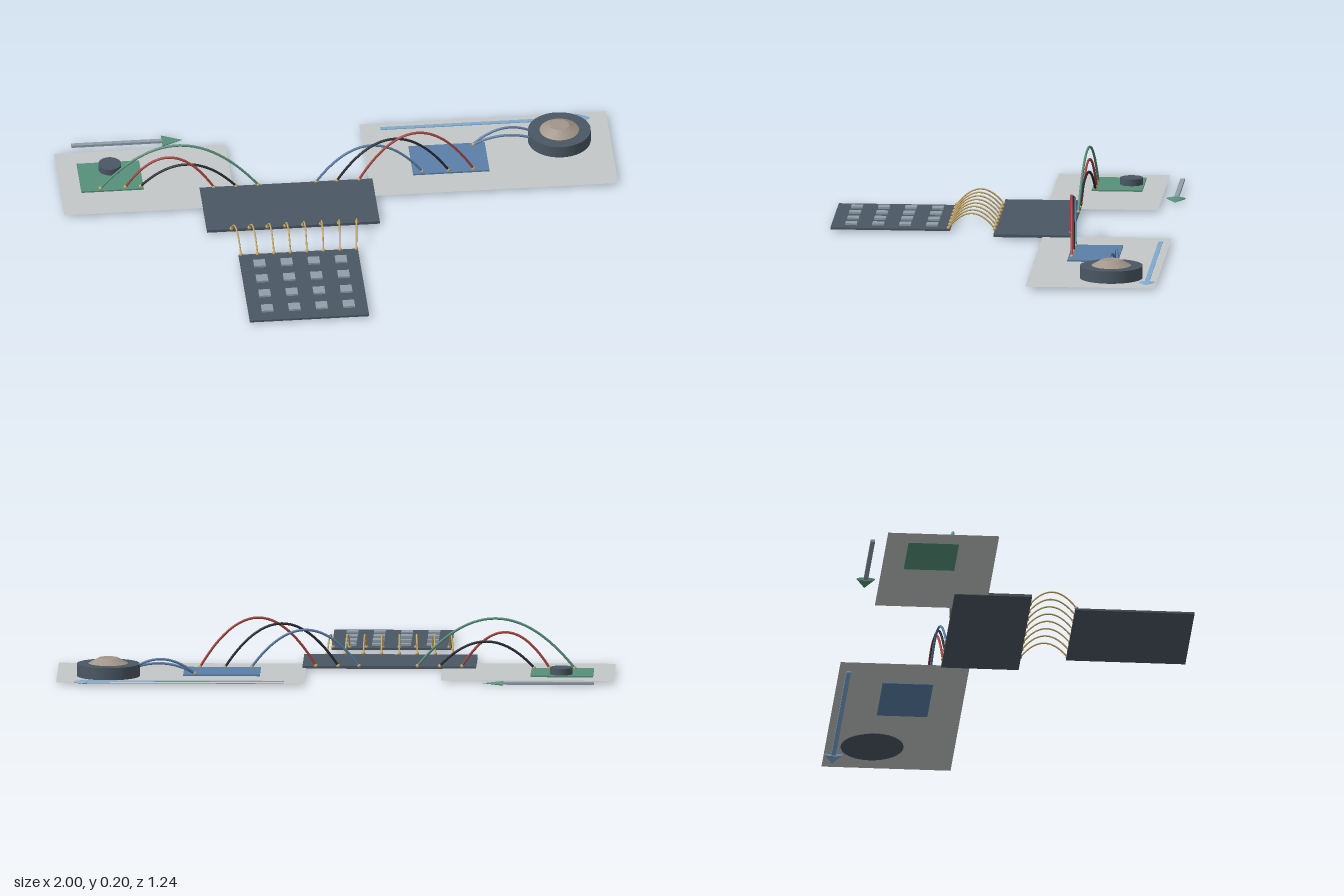
import * as THREE from 'three';

export function createModel() {
  const root = new THREE.Group();
  root.name = 'circuitLayout';

  const mat = (name, color, side = THREE.FrontSide) => {
    const m = new THREE.MeshStandardMaterial({ color, side });
    m.name = name;
    return m;
  };
  const slate = mat('slate', 0x4a5763);
  const green = mat('green', 0x57917a);
  const blue = mat('blue', 0x5b7fa8);
  const zoneGrey = mat('zoneGrey', 0xc3c7c7, THREE.DoubleSide);
  const buttonGrey = mat('buttonGrey', 0x909da8);
  const beige = mat('beige', 0xa3968b);
  const red = mat('red', 0xa8443f);
  const black = mat('black', 0x252a30);
  const gold = mat('gold', 0xc4a767);
  const lightBlue = mat('lightBlue', 0x7fa9cf);

  const add = (name, geo, material, x = 0, y = 0, z = 0) => {
    const m = new THREE.Mesh(geo, material);
    m.name = name;
    m.position.set(x, y, z);
    root.add(m);
    return m;
  };
  // Box given by its limits in x, y and z
  const slab = (name, material, x0, x1, y0, y1, z0, z1) =>
    add(name, new THREE.BoxGeometry(x1 - x0, y1 - y0, z1 - z0), material,
      (x0 + x1) / 2, (y0 + y1) / 2, (z0 + z1) / 2);

  // Flat zone sheets
  const zone = (name, x0, x1, z0, z1) => {
    const g = new THREE.PlaneGeometry(x1 - x0, z1 - z0).rotateX(-Math.PI / 2);
    add(name, g, zoneGrey, (x0 + x1) / 2, 0.0095, (z0 + z1) / 2);
  };
  zone('sensorZone', -1, -0.38, -0.535, -0.135);
  zone('speakerZone', 0.11, 1, -0.62, -0.155);

  // Boards
  slab('mainBoard', slate, -0.5, 0.123, 0.007, 0.017, -0.257, 0.022);
  slab('keypadBoard', slate, -0.402, 0.028, 0.007, 0.014, 0.185, 0.615);
  slab('sensorBoard', green, -0.925, -0.7, 0.007, 0.015, -0.456, -0.274);
  slab('speakerDriverBoard', blue, 0.272, 0.547, 0.007, 0.015, -0.456, -0.274);

  // Keypad buttons
  for (let i = 0; i < 4; i++) {
    for (let j = 0; j < 4; j++) {
      const x = -0.333 + i * 0.098, z = 0.253 + j * 0.097;
      slab('button', buttonGrey, x - 0.021, x + 0.021, 0.014, 0.021, z - 0.021, z + 0.021);
    }
  }

  // Sensor and speaker
  add('sensorDome', new THREE.CylinderGeometry(0.041, 0.041, 0.024, 32), slate, -0.81, 0.027, -0.41);
  add('speakerBody', new THREE.CylinderGeometry(0.113, 0.113, 0.047, 40), slate, 0.816, 0.0305, -0.452);
  add('speakerCone', new THREE.CylinderGeometry(0.035, 0.071, 0.02, 40), beige, 0.816, 0.065, -0.452);

  // Wires arching between two points, with a small pin at each end
  const wire = (name, material, a, b, top, r = 0.0045) => {
    const p = new THREE.Vector3(...a), q = new THREE.Vector3(...b);
    const mid = p.clone().add(q).multiplyScalar(0.5);
    mid.y = 2 * top - mid.y;
    const curve = new THREE.QuadraticBezierCurve3(p, mid, q);
    add(name, new THREE.TubeGeometry(curve, 32, r, 8), material);
    for (const e of [p, q]) add('pin', new THREE.SphereGeometry(0.007, 10, 8), gold, e.x, e.y, e.z);
  };
  for (let i = 0; i < 8; i++) {
    wire('keypadWire', gold, [-0.412 + i * 0.0645, 0.02, 0.022], [-0.394 + i * 0.0595, 0.018, 0.19], 0.074, 0.003);
  }
  const boardZ = -0.287, mainZ = -0.255;
  wire('sensorSignalWire', green, [-0.855, 0.017, boardZ], [-0.29, 0.018, mainZ], 0.194);
  wire('sensorPowerWire', red, [-0.765, 0.017, boardZ], [-0.45, 0.018, mainZ], 0.144);
  wire('sensorGroundWire', black, [-0.71, 0.017, boardZ], [-0.37, 0.018, mainZ], 0.11);
  wire('driverSignalWire', blue, [0.305, 0.017, boardZ], [-0.08, 0.018, mainZ], 0.15);
  wire('driverGroundWire', black, [0.4, 0.017, boardZ], [-0.005, 0.018, mainZ], 0.173);
  wire('driverPowerWire', red, [0.49, 0.017, boardZ], [0.075, 0.018, mainZ], 0.194);
  wire('speakerWire', blue, [0.505, 0.017, -0.446], [0.725, 0.04, -0.468], 0.07);
  wire('speakerWire', blue, [0.505, 0.017, -0.442], [0.725, 0.035, -0.432], 0.052);

  // Flow arrows: thin shaft and flattened cone head
  const arrow = (name, shaftMat, headMat, x0, x1, tip, z) => {
    slab(name + 'Shaft', shaftMat, x0, x1, 0.003, 0.012, z - 0.008, z + 0.008);
    const head = new THREE.ConeGeometry(0.034, tip - x1, 20).rotateZ(-Math.PI / 2).scale(1, 0.2, 1);
    add(name + 'Head', head, headMat, (x1 + tip) / 2, 0.007, z);
  };
  arrow('sensorArrow', buttonGrey, green, -0.932, -0.605, -0.53, -0.585);
  arrow('speakerArrow', lightBlue, lightBlue, 0.183, 0.89, 0.967, -0.585);

  return root;
}
